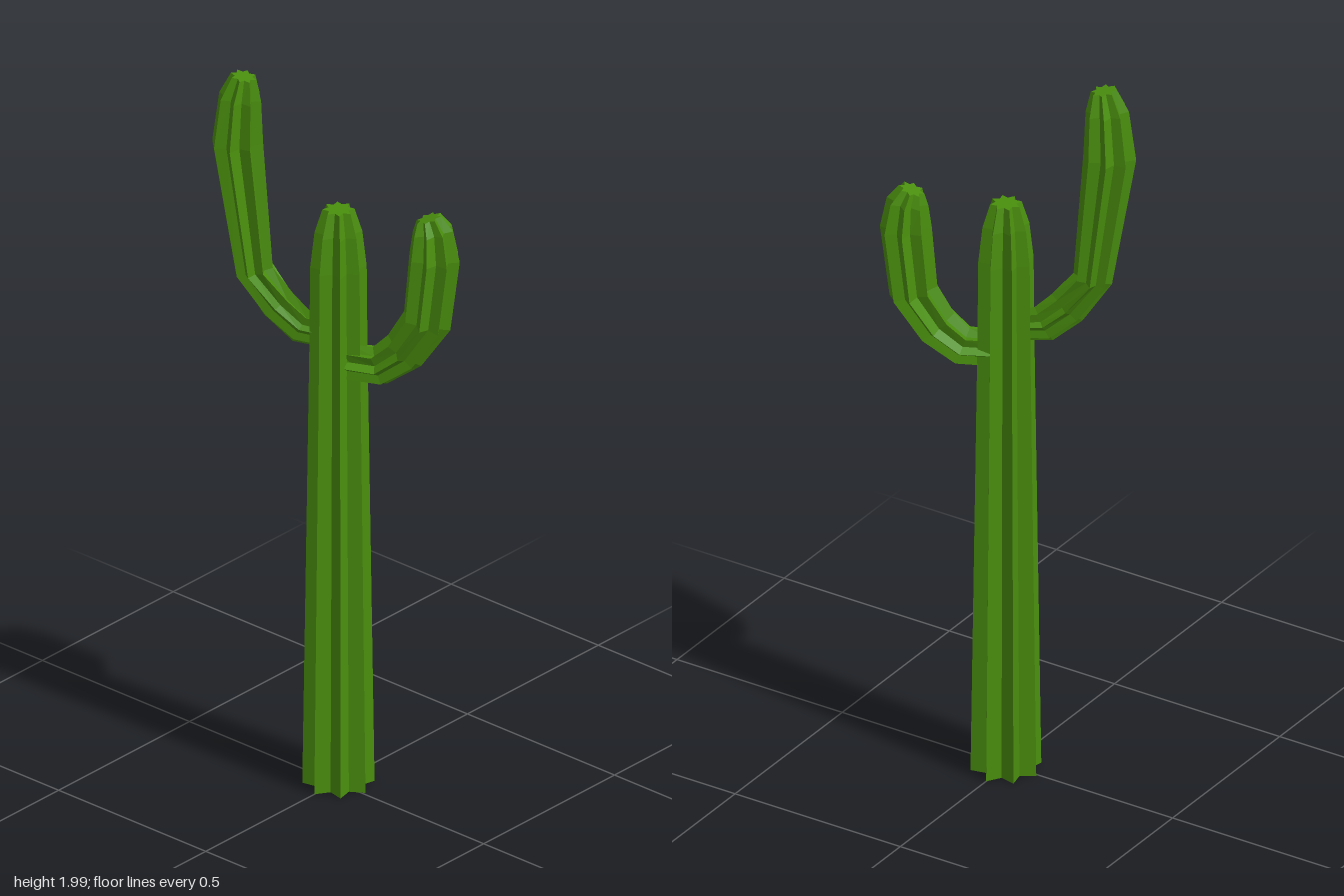
import * as THREE from 'three';

const POINTS = 8;      // ribs per stem
const VALLEY = 0.66;   // groove radius relative to rib radius

// Loft star-shaped rings along a path. ring: { c: centre, u, v: half sizes }
// side is the fixed horizontal axis shared by every ring.
function ribbedStem(rings, side) {
  const n = POINTS * 2, pos = [], idx = [];
  rings.forEach((ring, i) => {
    const a = rings[Math.max(i - 1, 0)].c;
    const b = rings[Math.min(i + 1, rings.length - 1)].c;
    const tangent = b.clone().sub(a).normalize();
    const up = side.clone().cross(tangent).normalize();
    for (let j = 0; j < n; j++) {
      const t = (j / n) * Math.PI * 2, k = j % 2 ? VALLEY : 1;
      const p = ring.c.clone()
        .addScaledVector(up, Math.cos(t) * k * ring.u)
        .addScaledVector(side, Math.sin(t) * k * ring.v);
      pos.push(p.x, p.y, p.z);
    }
  });
  for (let i = 0; i < rings.length - 1; i++) {
    for (let j = 0; j < n; j++) {
      const a = i * n + j, b = i * n + (j + 1) % n;
      idx.push(a, b, b + n, a, b + n, a + n);
    }
  }
  // flat star caps
  const last = (rings.length - 1) * n, c0 = rings.length * n, c1 = c0 + 1;
  pos.push(...rings[0].c.toArray(), ...rings[rings.length - 1].c.toArray());
  for (let j = 0; j < n; j++) {
    const k = (j + 1) % n;
    idx.push(c0, k, j, c1, last + j, last + k);
  }
  const indexed = new THREE.BufferGeometry();
  indexed.setAttribute('position', new THREE.Float32BufferAttribute(pos, 3));
  indexed.setIndex(idx);
  const geo = indexed.toNonIndexed();
  geo.computeVertexNormals();
  return geo;
}

export function createModel() {
  const group = new THREE.Group();
  const green = new THREE.MeshStandardMaterial({ color: 0x4a8f0e, flatShading: true });
  green.name = 'cactus green';

  const add = (name, rings, side) => {
    const mesh = new THREE.Mesh(ribbedStem(rings, side), green);
    mesh.name = name;
    group.add(mesh);
  };

  // Trunk: [height, radius]
  const trunk = [[0, 0.092], [1.25, 0.074], [1.48, 0.072], [1.58, 0.061], [1.645, 0.041]];
  add('trunk', trunk.map(([y, r]) => ({ c: new THREE.Vector3(0, y, -0.007), u: r, v: r })),
    new THREE.Vector3(1, 0, 0));

  // Arms lie in one slanted vertical plane: [x, y, in-plane radius, sideways radius]
  const SLANT = -0.45;
  const side = new THREE.Vector3(SLANT, 0, -1).normalize();
  const arm = (name, rows) => add(name,
    rows.map(([x, y, u, v]) => ({ c: new THREE.Vector3(x, y, x * SLANT), u, v })), side);

  arm('rightArm', [
    [-0.03, 1.29, 0.045, 0.02],
    [-0.085, 1.297, 0.052, 0.023],
    [-0.14, 1.35, 0.053, 0.032],
    [-0.2, 1.44, 0.051, 0.052],
    [-0.24, 1.8, 0.068, 0.068],
    [-0.234, 1.93, 0.056, 0.056],
    [-0.226, 1.99, 0.034, 0.034],
  ]);
  arm('leftArm', [
    [0.03, 1.215, 0.05, 0.045],
    [0.105, 1.217, 0.053, 0.052],
    [0.165, 1.27, 0.058, 0.06],
    [0.22, 1.365, 0.064, 0.068],
    [0.238, 1.55, 0.067, 0.068],
    [0.234, 1.625, 0.054, 0.054],
    [0.224, 1.66, 0.034, 0.034],
  ]);

  return group;
}
